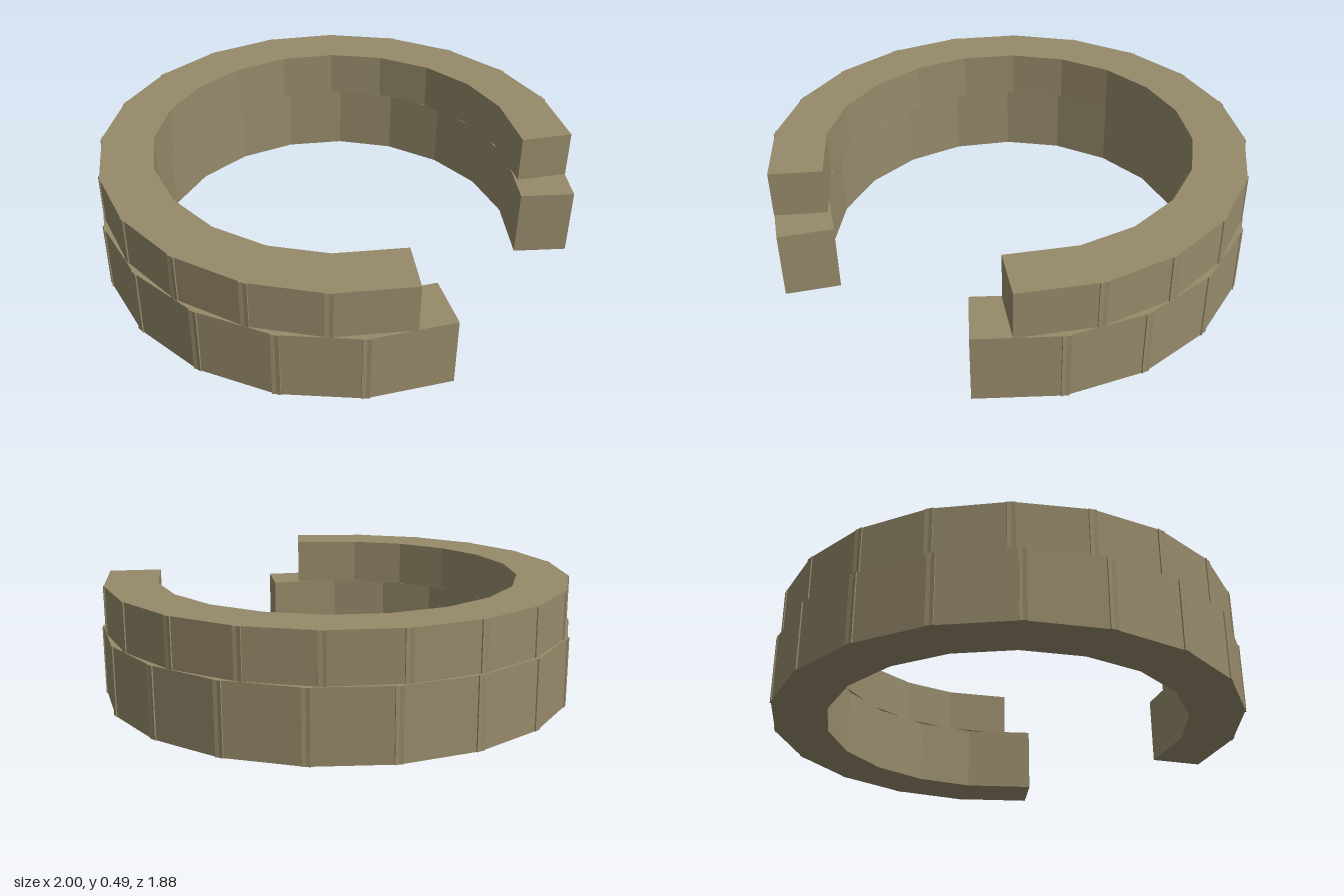
import * as THREE from 'three';

// One open course of straight blocks whose corners poke slightly past each other
function course(name, material, { step, inner, outer, length, bottom, top }) {
  const group = new THREE.Group();
  group.name = name;
  const geometry = new THREE.BoxGeometry(length, top - bottom, outer - inner);
  const radius = (inner + outer) / 2;
  for (let i = -8; i < 8; i++) {
    // angle measured from the back (-z), symmetric about x = 0
    const a = THREE.MathUtils.degToRad((i + 0.5) * step);
    const block = new THREE.Mesh(geometry, material);
    block.name = 'wallBlock';
    block.position.set(radius * Math.sin(a), (bottom + top) / 2, -radius * Math.cos(a));
    block.rotation.y = -a;
    group.add(block);
  }
  return group;
}

export function createModel() {
  const stone = new THREE.MeshStandardMaterial({ color: 0x968a6a });
  stone.name = 'sandy stone';

  const model = new THREE.Group();
  model.name = 'openRingWall';

  // Ring centre sits a little forward because the gap is at the front
  const ring = new THREE.Group();
  ring.name = 'ring';
  ring.position.z = 0.063;
  ring.add(
    course('lowerCourse', stone, {
      step: 18.75, inner: 0.76, outer: 0.985, length: 0.357, bottom: 0, top: 0.29,
    }),
    course('upperCourse', stone, {
      step: 17.65, inner: 0.757, outer: 0.973, length: 0.334, bottom: 0.29, top: 0.49,
    }),
  );
  model.add(ring);
  return model;
}
